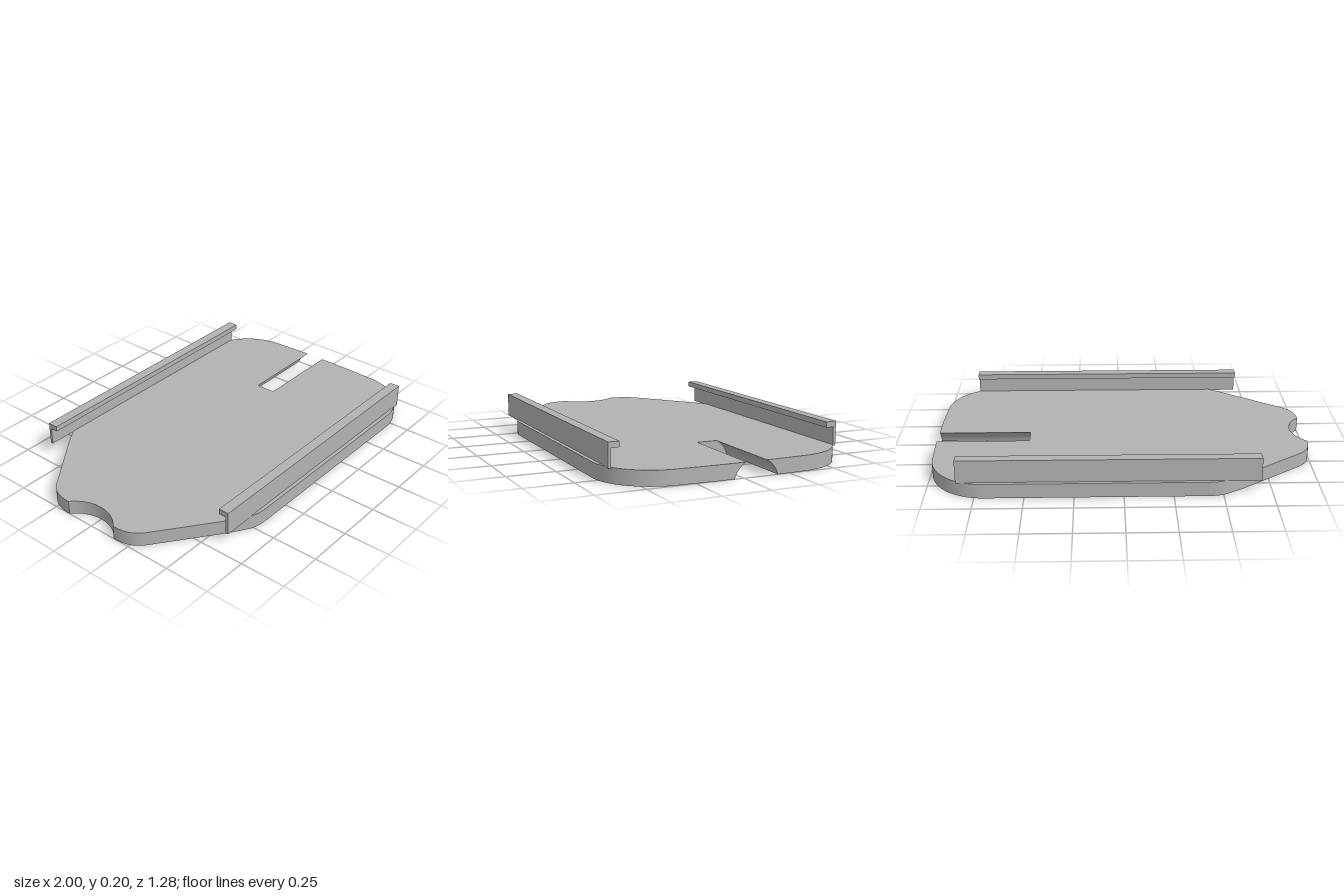
import * as THREE from 'three';
import { toCreasedNormals } from 'three/addons/utils/BufferGeometryUtils.js';

const PLATE_H = 0.077;
const SLOT = { x: 0.5, z: -0.068, y: -0.031, r: 0.121 }; // round channel axis and radius
const slotHalf = (y) => Math.sqrt(SLOT.r ** 2 - (y - SLOT.y) ** 2);

// Half of the plate outline (x, z), from the rear notch round to the slotted end
function halfOutline() {
  const path = new THREE.Path();
  const a = Math.asin(0.155 / 0.207);
  path.absarc(-1.137, 0, 0.207, 0, a, false);
  path.lineTo(-1, 0.16);
  path.bezierCurveTo(-1, 0.23, -0.98, 0.275, -0.935, 0.312);
  path.lineTo(-0.6, 0.565);
  path.lineTo(-0.52, 0.615);
  path.quadraticCurveTo(-0.48, 0.638, -0.42, 0.638);
  path.lineTo(0.7, 0.64);
  path.absellipse(0.7, 0.33, 0.293, 0.31, Math.PI / 2, 0, true);
  path.lineTo(1, 0.15);
  return path.getPoints(16);
}

function plateGeometry() {
  const half = halfOutline();
  const w = slotHalf(0);
  const notch = [[1, SLOT.z + w], [SLOT.x, SLOT.z + w], [SLOT.x, SLOT.z - w], [1, SLOT.z - w]]
    .map(([x, z]) => new THREE.Vector2(x, z));
  const mirrored = half.slice(1).reverse().map((p) => new THREE.Vector2(p.x, -p.y))
    .filter((p) => !(p.x > 0.99 && p.y > SLOT.z - w));
  const shape = new THREE.Shape([...half, ...notch, ...mirrored]);
  const geo = new THREE.ExtrudeGeometry(shape, { depth: PLATE_H, bevelEnabled: false });
  geo.rotateX(Math.PI / 2).translate(0, PLATE_H, 0);
  return toCreasedNormals(geo, 0.5);
}

// Curved overhang on one side of the slot: +1 is towards +z
function slotLipGeometry(side) {
  const w = slotHalf(0);
  const shape = new THREE.Shape();
  const u = (offset) => -(SLOT.z + side * offset);
  shape.moveTo(u(w), PLATE_H);
  shape.lineTo(u(w), 0);
  for (let i = 1; i <= 10; i++) {
    const y = (PLATE_H * i) / 10;
    shape.lineTo(u(slotHalf(y)), y);
  }
  const geo = new THREE.ExtrudeGeometry(shape, { depth: 1 - SLOT.x, bevelEnabled: false });
  geo.rotateY(Math.PI / 2).translate(SLOT.x, 0, 0);
  return toCreasedNormals(geo, 0.5);
}

// Angle rail: an upright web with a lip turned inwards
function railGeometry(side) {
  const profile = [[0.619, 0.073], [0.619, 0.197], [0.563, 0.197], [0.563, 0.168], [0.604, 0.168], [0.604, 0.073]];
  const shape = new THREE.Shape(profile.map(([z, y]) => new THREE.Vector2(-side * z, y)));
  const geo = new THREE.ExtrudeGeometry(shape, { depth: 1.53, bevelEnabled: false });
  return geo.rotateY(Math.PI / 2).translate(-0.69, 0, 0);
}

export function createModel() {
  const group = new THREE.Group();
  const grey = new THREE.MeshStandardMaterial({ color: 0xb2b2b2 });
  grey.name = 'grey';

  const add = (name, geometry) => {
    const mesh = new THREE.Mesh(geometry, grey);
    mesh.name = name;
    group.add(mesh);
  };

  add('basePlate', plateGeometry());
  for (const [label, side] of [['front', 1], ['back', -1]]) {
    add(label + 'SlotLip', slotLipGeometry(side));
    add(label + 'Rail', railGeometry(side));
  }
  return group;
}
